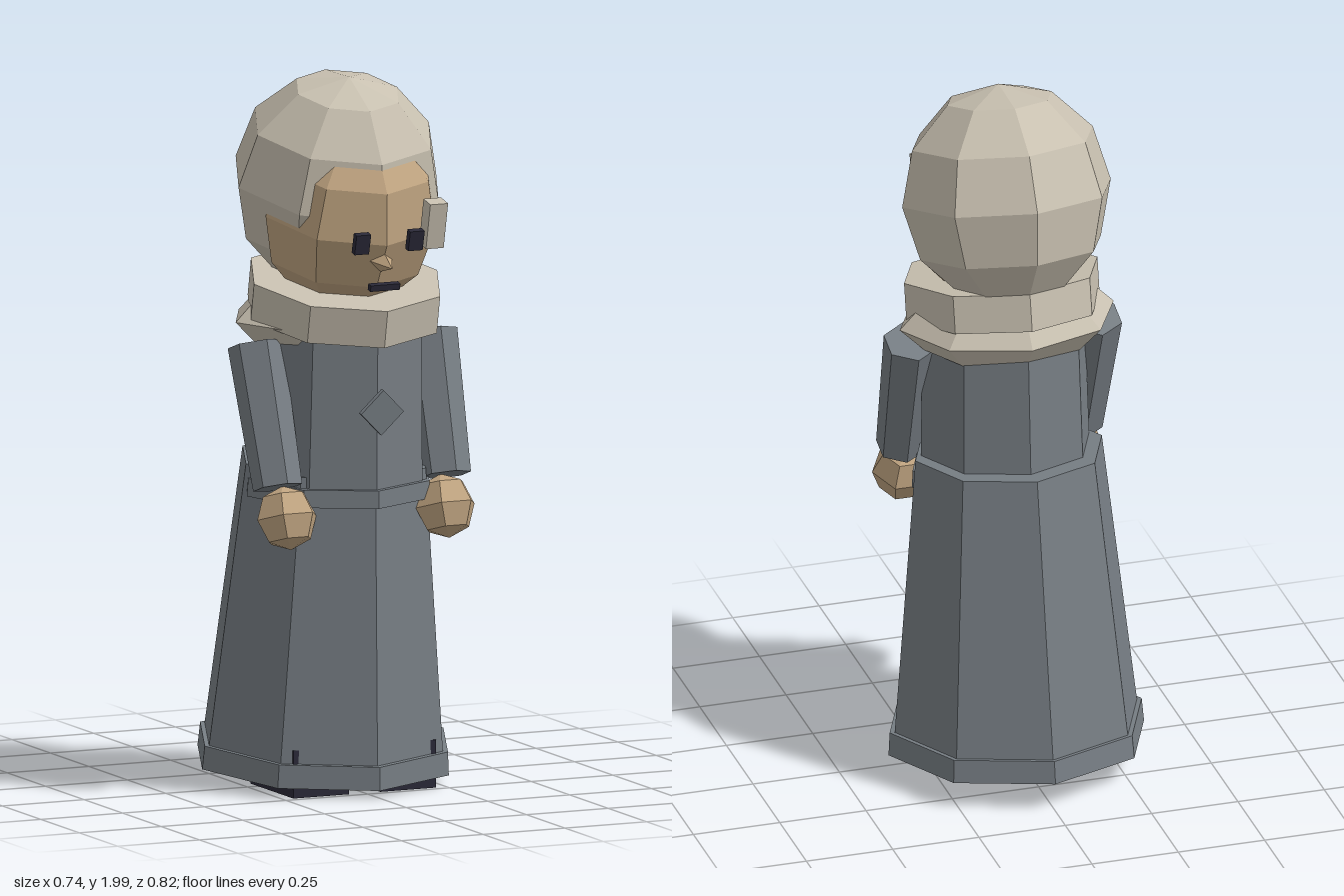
import * as THREE from 'three';

export function createModel() {
  const model = new THREE.Group();
  model.name = 'robedFigure';

  const mat = (name, color) => {
    const m = new THREE.MeshStandardMaterial({ color });
    m.name = name;
    m.flatShading = true;
    return m;
  };
  const robe = mat('greyRobe', 0x777e84);
  const cream = mat('creamHair', 0xc8c0b0);
  const skin = mat('skin', 0xc2a682);
  const dark = mat('darkLeather', 0x2a2938);

  const add = (name, geometry, material, [x, y, z], tilt = 0) => {
    const mesh = new THREE.Mesh(geometry, material);
    mesh.name = name;
    mesh.position.set(x, y, z);
    mesh.rotation.x = tilt;
    model.add(mesh);
    return mesh;
  };

  const LEAN = 0.085; // forward lean of the body
  const NOD = 0.25; // forward nod of the head

  // Robe: hem, skirt, torso and belt, all eight-sided
  add('hem', new THREE.CylinderGeometry(0.365, 0.37, 0.066, 8), robe, [0, 0.085, -0.037], LEAN);
  add('skirt', new THREE.CylinderGeometry(0.27, 0.353, 0.82, 8), robe, [0, 0.505, -0.003], LEAN);
  add('torso', new THREE.CylinderGeometry(0.234, 0.245, 0.46, 8), robe, [0, 1.09, 0.073], 0.04);
  add('belt', new THREE.CylinderGeometry(0.272, 0.275, 0.05, 8), robe, [0, 0.85, 0.05], 0.05);

  // Diamond brooch on the chest
  const brooch = new THREE.BoxGeometry(0.092, 0.092, 0.015).rotateZ(Math.PI / 4);
  add('brooch', brooch, robe, [0, 1.085, 0.339], 0.12);

  // Mantle around the shoulders and tilted collar above it
  const mantle = new THREE.TorusGeometry(0.24, 0.07, 4, 8).rotateX(-Math.PI / 2).scale(1, 1, 0.79);
  add('mantle', mantle, cream, [0, 1.315, 0.05], 0.03);
  add('collar', new THREE.CylinderGeometry(0.28, 0.28, 0.108, 8), cream, [0, 1.376, 0.095], 0.2);

  // Head and hair; the face emerges from the front of the hair.
  // A quarter turn and a half step keep a vertex on the centre line.
  const head = new THREE.SphereGeometry(0.255, 8, 6).scale(1, 1.1, 1);
  add('head', head, skin, [0, 1.62, 0.128], NOD);
  const hair = new THREE.SphereGeometry(0.302, 8, 6).scale(1, 1.03, 1);
  add('hair', hair, cream, [0, 1.693, 0.052], NOD);
  add('hairLock', new THREE.BoxGeometry(0.054, 0.132, 0.046), cream, [0.143, 1.61, 0.374], 0.22);

  // Facial features
  const nose = new THREE.ConeGeometry(0.038, 0.085, 4).rotateX(Math.PI / 2);
  add('nose', nose, skin, [0, 1.505, 0.368], 0.18);
  add('mouth', new THREE.BoxGeometry(0.09, 0.018, 0.018), dark, [0, 1.44, 0.356], NOD);

  for (const side of [-1, 1]) {
    const prefix = side > 0 ? 'left' : 'right';
    add(prefix + 'Eye', new THREE.BoxGeometry(0.044, 0.058, 0.02), dark, [side * 0.082, 1.57, 0.383], NOD);

    // Six-sided sleeve, swung slightly forward
    const sleeve = add(prefix + 'Sleeve', new THREE.CylinderGeometry(0.078, 0.069, 0.405, 6), robe,
      [side * 0.262, 1.065, 0.149], -0.32);
    sleeve.rotation.z = -side * 0.02;

    // Hand
    const hand = new THREE.SphereGeometry(0.09, 6, 4);
    add(prefix + 'Hand', hand, skin, [side * 0.242, 0.79, 0.238], -0.32);

    // Shoe, mostly hidden by the skirt
    add(prefix + 'Shoe', new THREE.BoxGeometry(0.17, 0.134, 0.28), dark, [side * 0.133, 0.067, 0.09]);
  }

  return model;
}
